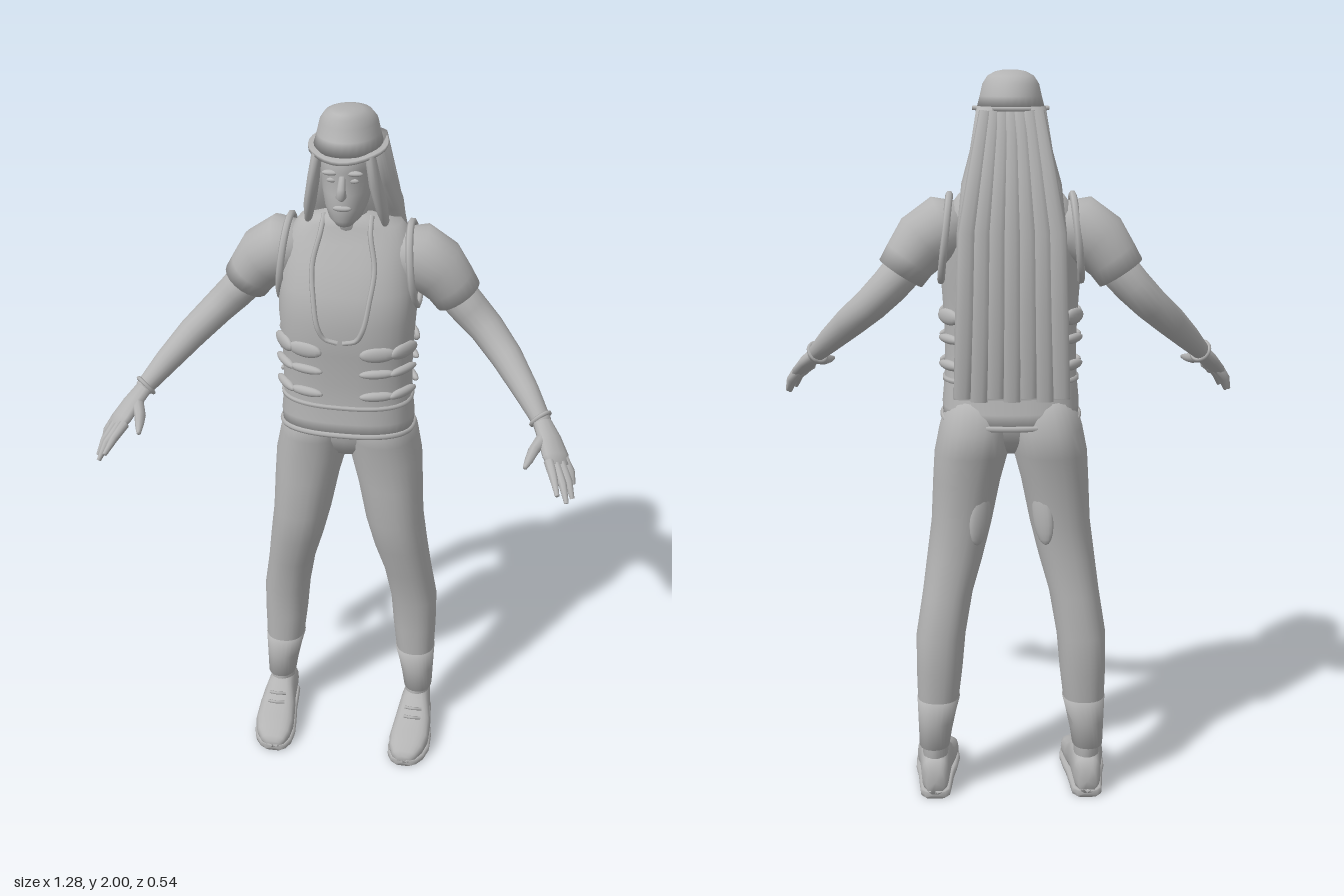
import * as THREE from 'three';

const V = (x, y, z) => new THREE.Vector3(x, y, z);
const grey = new THREE.MeshStandardMaterial({ color: 0xb4b4b4 });
grey.name = 'plain grey';

// One closed ring of points; pow below 1 makes it boxier
function ring(c, u, v, n = 24, pow = 1) {
  const f = t => Math.sign(t) * Math.abs(t) ** pow;
  return Array.from({ length: n }, (_, i) => {
    const a = (i / n) * Math.PI * 2;
    return c.clone().addScaledVector(u, f(Math.cos(a))).addScaledVector(v, f(Math.sin(a)));
  });
}

// Skins rings into a closed smooth solid, facing outward
function skin(rings) {
  const n = rings[0].length, m = rings.length, pts = rings.flat(), tri = [];
  for (let j = 0; j < m - 1; j++) for (let i = 0; i < n; i++) {
    const a = j * n + i, b = j * n + (i + 1) % n;
    tri.push([a, a + n, b], [b, a + n, b + n]);
  }
  [0, m - 1].forEach((j, end) => {
    const mid = rings[j].reduce((s, p) => s.add(p), V(0, 0, 0)).divideScalar(n);
    const c = pts.push(mid) - 1;
    for (let i = 0; i < n; i++) {
      const a = j * n + i, b = j * n + (i + 1) % n;
      tri.push(end ? [c, b, a] : [c, a, b]);
    }
  });
  const o = pts[pts.length - 1];
  const vol = tri.reduce((s, [a, b, c]) => s + pts[a].clone().sub(o)
    .dot(pts[b].clone().sub(o).cross(pts[c].clone().sub(o))), 0);
  const g = new THREE.BufferGeometry().setFromPoints(pts);
  g.setIndex(tri.flatMap(([a, b, c]) => vol < 0 ? [a, c, b] : [a, b, c]));
  g.computeVertexNormals();
  return g;
}

// Horizontal sections: [y, centre x, half width, front z, back z]
const upright = (rows, pow = 1, n = 28) => skin(rows.map(([y, x, w, f, b]) =>
  ring(V(x, y, (f + b) / 2), V(w, 0, 0), V(0, 0, (f - b) / 2), n, pow)));

// Sections across a path: [x, y, z, radius, second radius]
function limb(rows, n = 16, ref = V(0, 0, 1)) {
  const p = rows.map(r => V(r[0], r[1], r[2]));
  return skin(rows.map((r, i) => {
    const t = p[Math.min(i + 1, p.length - 1)].clone().sub(p[Math.max(i - 1, 0)]).normalize();
    const u = t.clone().cross(ref).normalize(), v = u.clone().cross(t).normalize();
    return ring(p[i], u.multiplyScalar(r[3]), v.multiplyScalar(r[4] ?? r[3]), n);
  }));
}

const cord = (pts, r, closed = false) => new THREE.TubeGeometry(
  new THREE.CatmullRomCurve3(pts, closed), pts.length * 5, r, 6, closed);
const blob = (sx, sy, sz) => new THREE.SphereGeometry(1, 16, 10).scale(sx, sy, sz);

const TORSO = [
  [1.1, 0, 0.182, 0.035, -0.225], [1.14, 0, 0.184, 0.035, -0.22], [1.2, 0, 0.178, 0.028, -0.2],
  [1.27, 0, 0.176, 0.03, -0.19], [1.36, 0, 0.178, 0.037, -0.195], [1.45, 0, 0.184, 0.05, -0.205],
  [1.53, 0, 0.184, 0.032, -0.215], [1.6, 0, 0.175, 0.002, -0.22], [1.65, 0, 0.165, -0.025, -0.21],
  [1.69, 0, 0.135, -0.045, -0.19], [1.72, 0, 0.06, -0.05, -0.16]];

// Point on the vest at a height and an angle (90 degrees is the front)
function onTorso(y, deg, out = 0) {
  let i = 0;
  while (i < TORSO.length - 2 && TORSO[i + 1][0] < y) i++;
  const k = (y - TORSO[i][0]) / (TORSO[i + 1][0] - TORSO[i][0]);
  const [, , w, f, b] = TORSO[i].map((q, j) => q + (TORSO[i + 1][j] - q) * k);
  const a = THREE.MathUtils.degToRad(deg), s = t => Math.sign(t) * Math.abs(t) ** 0.8;
  return V(s(Math.cos(a)) * (w + out), y, (f + b) / 2 + s(Math.sin(a)) * ((f - b) / 2 + out));
}
const tilt = p => (p.y < 1.15 ? p.setY(p.y + 0.13 * (p.z + 0.07)) : p);

export function createModel() {
  const model = new THREE.Group();
  model.name = 'standing figure';
  const add = (name, geo, parent = model) => {
    const m = new THREE.Mesh(geo, grey);
    m.name = name;
    parent.add(m);
    return m;
  };

  // Vest with a hem that drops toward the back
  const vest = upright(TORSO, 0.8, 36), pos = vest.attributes.position;
  for (let i = 0; i < pos.count; i++) {
    const p = tilt(V(0, 0, 0).fromBufferAttribute(pos, i));
    pos.setXYZ(i, p.x, p.y, p.z);
  }
  vest.computeVertexNormals();
  add('vest', vest);
  const loop = (y, out) => Array.from({ length: 24 }, (_, i) => tilt(onTorso(y, i * 15, out)));
  add('vestHem', cord(loop(1.105, 0), 0.008, true));
  add('waistStrap', cord(loop(1.2, -0.002), 0.008, true));
  add('pelvis', blob(0.165, 0.12, 0.105).translate(0, 1.11, -0.105));

  // Pouches in two rows around the waist
  for (const [y, h] of [[1.24, 0.014], [1.31, 0.013], [1.37, 0.022]])
    for (const deg of [28, 62, 118, 152, 205, 240, 300, 335]) {
      const p = onTorso(y, deg), q = onTorso(y, deg + 4).sub(onTorso(y, deg - 4));
      const m = add('vestPouch', blob(0.05, h, 0.013));
      m.position.copy(p);
      m.rotation.y = Math.atan2(-q.z, q.x);
    }

  // Neck, head and face
  add('neck', upright([[1.66, 0, 0.06, -0.04, -0.17], [1.72, 0, 0.048, -0.045, -0.15], [1.8, 0, 0.05, -0.04, -0.15]]));
  add('head', upright([
    [1.712, 0, 0.022, 0.002, -0.06], [1.73, 0, 0.042, 0.014, -0.1], [1.76, 0, 0.055, 0.018, -0.13],
    [1.8, 0, 0.064, 0.018, -0.16], [1.83, 0, 0.068, 0.012, -0.18], [1.86, 0, 0.07, 0.02, -0.19],
    [1.92, 0, 0.07, 0.015, -0.19]]));
  add('nose', limb([[0, 1.85, 0.012, 0.008], [0, 1.82, 0.026, 0.011], [0, 1.803, 0.03, 0.014], [0, 1.795, 0.02, 0.008]], 10, V(1, 0, 0)));
  add('mouth', blob(0.024, 0.008, 0.009).translate(0, 1.767, 0.015));
  for (const s of [-1, 1]) {
    add('brow', blob(0.022, 0.007, 0.01).translate(s * 0.03, 1.858, 0.01));
    add('eye', blob(0.013, 0.006, 0.006).translate(s * 0.028, 1.837, 0.005));
  }

  // Hat: crown and brim with a pointed front
  add('hatCrown', upright([
    [1.905, 0, 0.088, 0.035, -0.2], [1.935, 0, 0.08, 0.015, -0.188], [1.965, 0, 0.073, 0.004, -0.178],
    [1.985, 0, 0.06, -0.004, -0.155], [1.996, 0, 0.04, -0.012, -0.115], [2, 0, 0.018, -0.02, -0.07]]));
  const brim = [0, 1].map(k => ring(V(0, 1.9 + k * 0.009, -0.08), V(0.1, 0, 0), V(0, 0, 0.137), 28).map(p => {
    if (p.z > 0) p.x *= 1 - p.z * 2.2;
    p.y += p.z > 0 ? -p.z * 0.12 : 0;
    return p;
  }));
  add('hatBrim', skin(brim));

  // Long hair down the back with raised strands
  add('hair', upright([
    [1.91, 0, 0.088, -0.04, -0.2], [1.8, 0, 0.106, -0.06, -0.225], [1.72, 0, 0.128, -0.1, -0.243],
    [1.6, 0, 0.14, -0.17, -0.258], [1.4, 0, 0.146, -0.195, -0.262], [1.17, 0, 0.152, -0.22, -0.252]], 0.5, 32));
  for (let i = -3; i <= 3; i++) add('hairStrand', limb([
    [i * 0.022, 1.9, -0.195, 0.016, 0.008], [i * 0.03, 1.75, -0.23, 0.021, 0.011],
    [i * 0.038, 1.6, -0.257, 0.024, 0.012], [i * 0.04, 1.4, -0.26, 0.024, 0.01],
    [i * 0.043, 1.165 + 0.01 * (i & 1), -0.25, 0.022, 0.008]], 10));

  for (const s of [-1, 1]) {
    const side = new THREE.Group();
    side.name = s > 0 ? 'leftSide' : 'rightSide';
    model.add(side);
    const put = (name, geo) => add(name, geo, side);
    const mx = rows => rows.map(([x, ...r]) => [x * s, ...r]);
    const my = rows => rows.map(([y, x, ...r]) => [y, x * s, ...r]);

    put('sideLock', limb(mx([[0.066, 1.905, -0.005, 0.013, 0.022], [0.078, 1.83, -0.015, 0.016, 0.03],
      [0.092, 1.76, -0.04, 0.016, 0.03], [0.1, 1.71, -0.06, 0.01, 0.02]]), 10));

    // Vest lapel and rolled armhole
    put('lapel', cord([V(s * 0.062, 1.715, -0.075), V(s * 0.065, 1.68, -0.035), ...[[1.6, 68], [1.52, 72], [1.45, 76], [1.415, 81], [1.405, 89]]
      .map(([y, d]) => onTorso(y, s > 0 ? d : 180 - d, 0.003))], 0.007));
    put('armhole', cord(ring(V(s * 0.172, 1.575, -0.115), V(s * -0.012, 0.112, 0), V(0, 0, 0.088), 16), 0.01, true));

    // Sleeve and arm
    put('sleeve', limb(mx([[0.12, 1.61, -0.115, 0.06, 0.07], [0.175, 1.6, -0.117, 0.088, 0.088], [0.23, 1.565, -0.125, 0.082, 0.084],
      [0.265, 1.52, -0.132, 0.07, 0.075], [0.288, 1.485, -0.134, 0.066, 0.068], [0.288, 1.485, -0.134, 0.05, 0.05]].slice(0, 5)), 20));
    put('arm', limb(mx([[0.25, 1.53, -0.13, 0.054], [0.32, 1.45, -0.13, 0.05, 0.055], [0.37, 1.4, -0.12, 0.046, 0.052],
      [0.43, 1.345, -0.07, 0.042, 0.044], [0.49, 1.285, 0, 0.034, 0.034], [0.54, 1.232, 0.066, 0.024, 0.028]]), 16));
    put('cuff', cord(ring(V(s * 0.534, 1.238, 0.058), V(s * 0.022, 0.012, -0.012), V(0, 0.02, 0.02), 10), 0.006, true));

    // Hand, fingers and thumb
    put('palm', limb(mx([[0.534, 1.238, 0.058, 0.02, 0.026], [0.562, 1.207, 0.105, 0.02, 0.036],
      [0.582, 1.18, 0.145, 0.018, 0.042], [0.592, 1.165, 0.165, 0.012, 0.036]]), 12, V(-s * 0.6, 0.1, 0.8)));
    for (const [a, b, c] of [
      [[0.566, 1.178, 0.172], [0.582, 1.158, 0.218], [0.595, 1.135, 0.264]],
      [[0.582, 1.17, 0.168], [0.606, 1.138, 0.21], [0.62, 1.103, 0.245]],
      [[0.595, 1.168, 0.155], [0.62, 1.132, 0.185], [0.634, 1.095, 0.208]],
      [[0.602, 1.17, 0.135], [0.624, 1.14, 0.148], [0.634, 1.108, 0.158]]])
      put('finger', limb(mx([[...a, 0.014], [...b, 0.011], [...c, 0.006]]), 8));
    put('thumb', limb(mx([[0.55, 1.215, 0.1, 0.018], [0.525, 1.198, 0.155, 0.015], [0.517, 1.192, 0.19, 0.012], [0.508, 1.188, 0.228, 0.006]]), 8, V(0, 1, 0)));

    // Trouser leg, lower cuff and thigh patch
    put('leg', upright(my([[1.15, 0.085, 0.085, 0.02, -0.2], [1.07, 0.096, 0.097, 0.012, -0.238], [1, 0.107, 0.1, 0.003, -0.225],
      [0.92, 0.12, 0.092, 0, -0.208], [0.8, 0.135, 0.083, -0.002, -0.195], [0.7, 0.154, 0.077, -0.018, -0.193],
      [0.6, 0.175, 0.069, -0.045, -0.2], [0.48, 0.195, 0.068, -0.068, -0.212], [0.38, 0.2, 0.064, -0.073, -0.208],
      [0.28, 0.205, 0.057, -0.077, -0.196], [0.15, 0.215, 0.04, -0.082, -0.182]]), 0.9));
    put('trouserCuff', upright(my([[0.29, 0.204, 0.06, -0.072, -0.2], [0.22, 0.212, 0.05, -0.075, -0.193], [0.145, 0.217, 0.043, -0.077, -0.189]]), 0.9));
    put('ankle', upright(my([[0.2, 0.215, 0.036, -0.085, -0.18], [0.08, 0.215, 0.036, -0.07, -0.18]])));
    const patch = put('thighPatch', blob(0.032, 0.085, 0.016));
    patch.position.set(s * 0.085, 0.835, -0.178);
    patch.rotation.set(0, s * 0.6, s * 0.12);

    // Shoe: sections [z, centre x, half width, top height]
    const shoe = [[-0.195, 0.215, 0.025, 0.085], [-0.18, 0.215, 0.038, 0.115], [-0.12, 0.215, 0.044, 0.14], [-0.075, 0.215, 0.048, 0.135],
      [-0.03, 0.215, 0.056, 0.1], [0.03, 0.212, 0.06, 0.08], [0.07, 0.208, 0.052, 0.066], [0.095, 0.205, 0.036, 0.05], [0.104, 0.204, 0.02, 0.036]];
    put('shoe', skin(shoe.map(([z, x, w, h]) => ring(V(x * s, (h + 0.012) / 2, z), V(w, 0, 0), V(0, (h - 0.012) / 2, 0), 20, 0.75))));
    put('sole', skin(shoe.map(([z, x, w]) => ring(V(x * s, 0.012, z), V(w + 0.004, 0, 0), V(0, 0.012, 0), 16, 0.4))));
    for (const z of [-0.04, -0.015])
      put('lace', cord([V(s * 0.19, 0.085 - z * 0.6, z), V(s * 0.215, 0.09 - z * 0.6, z + 0.008), V(s * 0.24, 0.085 - z * 0.6, z)], 0.005));
  }
  return model;
}
